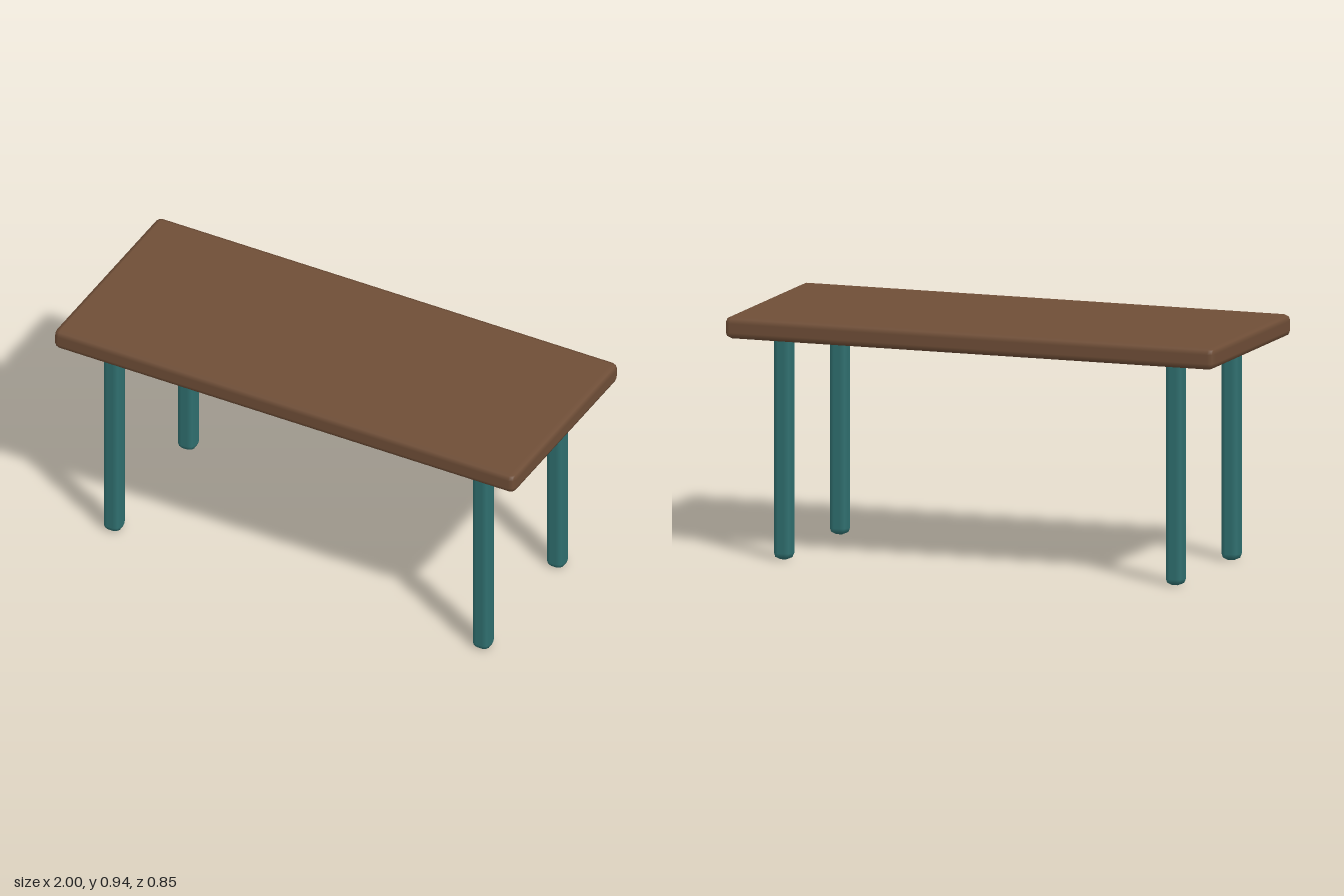
import * as THREE from 'three';
import { RoundedBoxGeometry } from 'three/addons/geometries/RoundedBoxGeometry.js';

export function createModel() {
  const table = new THREE.Group();
  table.name = 'table';

  const wood = new THREE.MeshStandardMaterial({ color: 0x6f4e37 });
  const teal = new THREE.MeshStandardMaterial({ color: 0x2f6f6f });

  // Tabletop: thin slab with softly bevelled edges
  const top = new THREE.Mesh(new RoundedBoxGeometry(2, 0.085, 0.848, 1, 0.025), wood);
  top.name = 'tabletop';
  top.position.y = 0.902;
  table.add(top);

  // Four legs with rounded corners, sunk slightly into the tabletop
  const legHeight = 0.9;
  const legGeometry = new RoundedBoxGeometry(0.074, legHeight, 0.074, 1, 0.025);
  for (const [endName, z] of [['front', 0.298], ['back', -0.298]]) {
    for (const [sideName, x] of [['Left', 0.8], ['Right', -0.8]]) {
      const leg = new THREE.Mesh(legGeometry, teal);
      leg.name = `${endName}${sideName}Leg`;
      leg.position.set(x, legHeight / 2, z);
      table.add(leg);
    }
  }

  return table;
}
